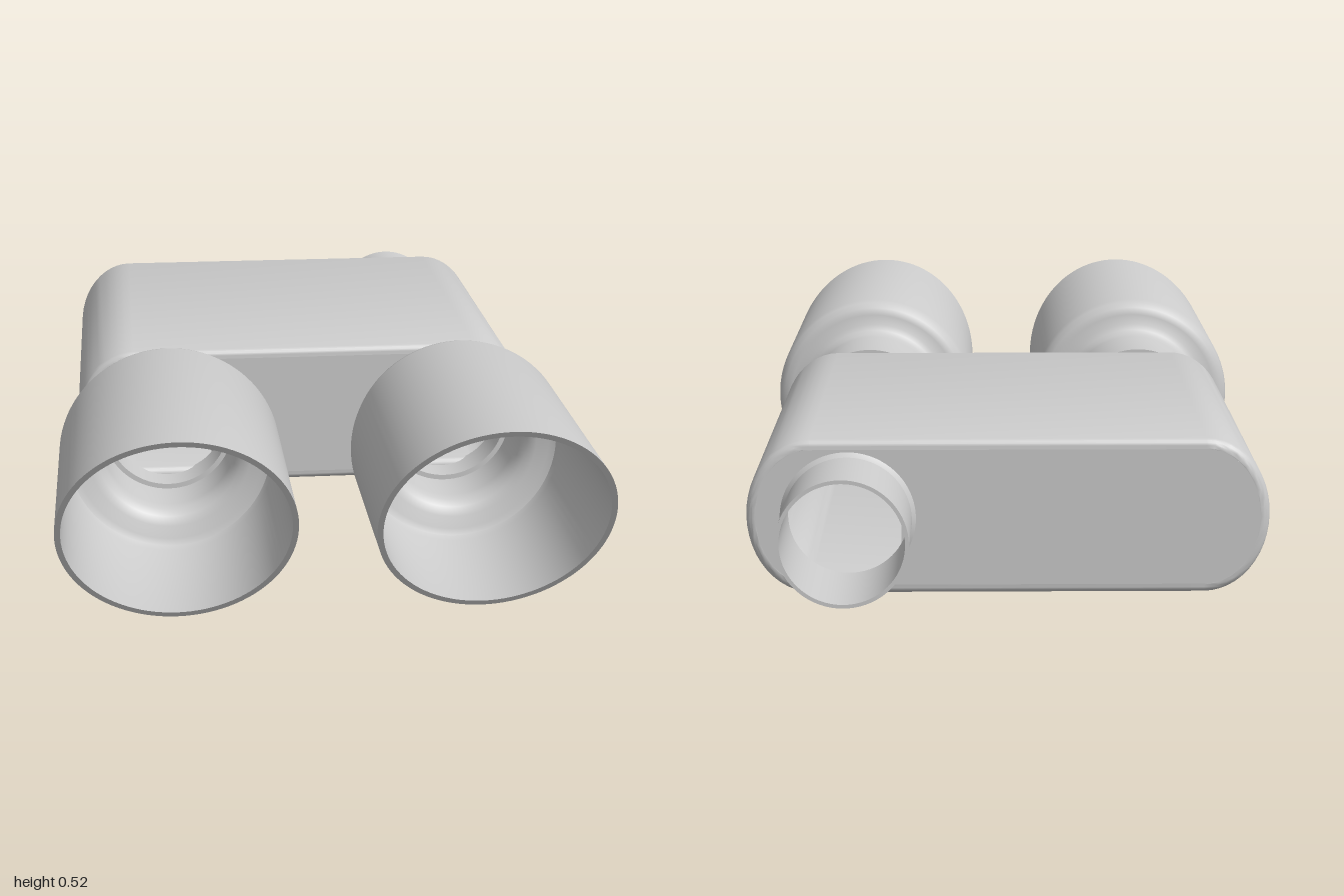
import * as THREE from 'three';
import { toCreasedNormals } from 'three/addons/utils/BufferGeometryUtils.js';

const CY = 0.262;   // height of every pipe axis
const PX = 0.345;   // sideways offset of the pipes
const material = new THREE.MeshStandardMaterial({ color: 0xcccccc });

function mesh(name, geometry, x = 0, y = 0, z = 0) {
  const m = new THREE.Mesh(geometry, material);
  m.name = name;
  m.position.set(x, y, z);
  return m;
}

// Lathe about the z axis from [radius, z] pairs
function turned(profile, segments = 72) {
  const pts = profile.map(([r, z]) => new THREE.Vector2(r, z));
  return new THREE.LatheGeometry(pts, segments).rotateX(Math.PI / 2);
}

// Open pipe with wall thickness
function pipe(rOut, rIn, z0, z1) {
  return toCreasedNormals(turned([[rOut, z0], [rOut, z1], [rIn, z1], [rIn, z0], [rOut, z0]]), 0.6);
}

// Flat-topped oval cross-section of the box, shrunk by an inset
function ovalPoints(inset) {
  const hx = 0.565 - inset, hy = 0.173 - inset, ex = 0.14 - inset;
  const pts = [];
  for (const side of [1, -1]) {
    for (let i = 0; i <= 24; i++) {
      const a = -Math.PI / 2 + (i / 24) * Math.PI;
      pts.push(new THREE.Vector2(side * (hx - ex + ex * Math.cos(a)), side * hy * Math.sin(a)));
    }
  }
  return pts;
}

function circleHole(x, y, r, n = 48) {
  const hole = new THREE.Path();
  hole.absarc(x, y, r, 0, Math.PI * 2, true);
  return new THREE.Path(hole.getPoints(n));
}

function plate(shape, depth) {
  const g = new THREE.ExtrudeGeometry(shape, { depth, bevelEnabled: false, curveSegments: 48 });
  return toCreasedNormals(g, 0.6);
}

function createBox() {
  const box = new THREE.Group();
  box.name = 'silencerBox';
  // Wall with rounded front and rear rims
  const ring = new THREE.Shape(ovalPoints(0));
  ring.holes.push(new THREE.Path(ovalPoints(0.042).reverse()));
  const wall = new THREE.ExtrudeGeometry(ring, {
    depth: 0.86, bevelSize: 0.02, bevelThickness: 0.02, bevelOffset: -0.02, bevelSegments: 5,
  });
  box.add(mesh('boxWall', toCreasedNormals(wall, 0.6), 0, CY, -0.79));
  // End plates with pipe openings
  const front = new THREE.Shape(ovalPoints(0.022));
  front.holes.push(circleHole(-PX, 0, 0.15), circleHole(PX, 0, 0.15));
  box.add(mesh('frontPlate', plate(front, 0.02), 0, CY, 0.07));
  const rear = new THREE.Shape(ovalPoints(0.022));
  rear.holes.push(circleHole(PX, 0, 0.131));
  box.add(mesh('rearPlate', plate(rear, 0.02), 0, CY, -0.81));
  // Inner partitions
  for (const s of [-1, 1]) {
    box.add(mesh('partition', new THREE.BoxGeometry(0.01, 0.28, 0.86), s * 0.226, CY, -0.36));
  }
  // Perforated baffle
  const baffle = new THREE.Shape().absarc(0, 0, 0.165, 0, Math.PI * 2);
  for (const [count, radius] of [[1, 0], [8, 0.052], [12, 0.104]]) {
    for (let i = 0; i < count; i++) {
      const a = (i / count) * Math.PI * 2;
      baffle.holes.push(circleHole(radius * Math.cos(a), radius * Math.sin(a), 0.015, 16));
    }
  }
  box.add(mesh('perforatedBaffle', plate(baffle, 0.01), -PX, CY, -0.35));
  return box;
}

// Flared tip with a slanted mouth
function tipGeometry() {
  const shoulder = 0.35;
  const profile = [
    [0.16, 0.1], [0.175, 0.1], [0.175, 0.265], [0.178, 0.285], [0.186, 0.3], [0.2, 0.309],
    [0.225, 0.312], [0.243, 0.317], [0.255, 0.33], [0.26, 0.35], [0.26, 1],
    [0.247, 1], [0.247, 0.35], [0.24, 0.335], [0.225, 0.327], [0.195, 0.322],
    [0.175, 0.31], [0.163, 0.29], [0.16, 0.265], [0.16, 0.1],
  ];
  const g = turned(profile, 96);
  const p = g.attributes.position;
  for (let i = 0; i < p.count; i++) {
    const z = p.getZ(i);
    if (z > shoulder) {
      const mouth = 0.85 + 0.15 * p.getY(i) / 0.26;
      p.setZ(i, shoulder + (z - shoulder) / (1 - shoulder) * (mouth - shoulder));
    }
  }
  return toCreasedNormals(g, 0.6);
}

function createBolt(side) {
  const bolt = new THREE.Group();
  bolt.name = 'clampBolt';
  const part = (name, r, len, sides, x) => {
    const g = new THREE.CylinderGeometry(r, r, len, sides, 1, false, Math.PI / 6).rotateZ(Math.PI / 2);
    bolt.add(mesh(name, toCreasedNormals(g, 0.6), side * x));
  };
  part('boltHead', 0.04, 0.018, 6, 0.204);
  part('boltShank', 0.022, 0.06, 20, 0.175);
  part('boltNut', 0.03, 0.016, 6, 0.152);
  bolt.position.z = 0.195;
  return bolt;
}

function createTip(name, x) {
  const tip = new THREE.Group();
  tip.name = name;
  tip.position.set(x, CY, 0);
  tip.add(mesh('flaredTip', tipGeometry()));
  tip.add(mesh('outletPipe', pipe(0.16, 0.148, 0.072, 0.16)));
  tip.add(createBolt(1), createBolt(-1));
  return tip;
}

export function createModel() {
  const model = new THREE.Group();
  model.name = 'twinExhaust';
  model.add(createBox(), createTip('leftTip', PX), createTip('rightTip', -PX));
  // Inlet pipe with a small weld collar
  model.add(mesh('inletPipe', pipe(0.138, 0.13, -1, -0.79), PX, CY));
  const weld = turned([[0.137, -0.825], [0.14, -0.818], [0.147, -0.809]]);
  model.add(mesh('inletWeld', weld, PX, CY));
  return model;
}
